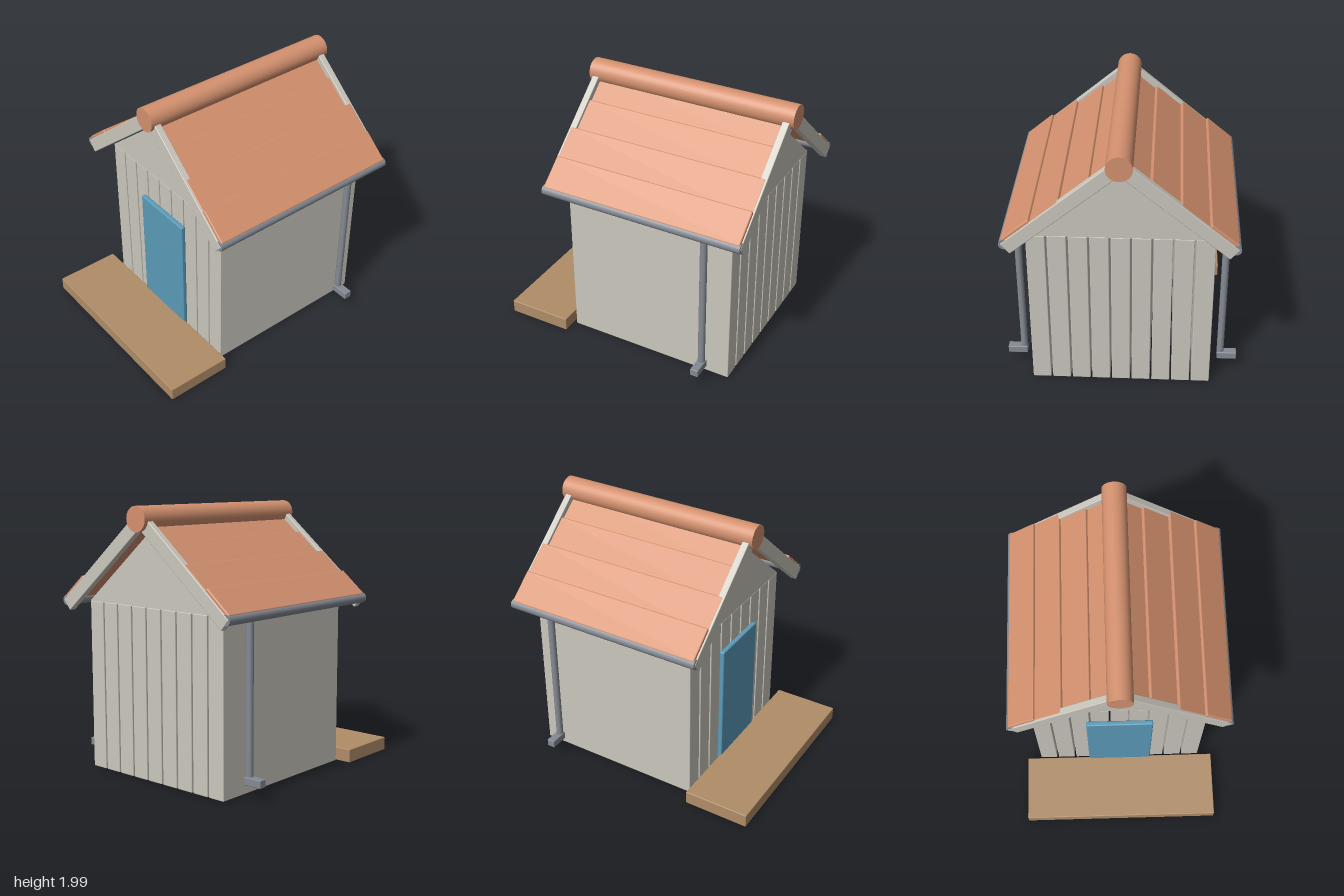
import * as THREE from 'three';
import { RoundedBoxGeometry } from 'three/addons/geometries/RoundedBoxGeometry.js';

const paint = (name, color) => {
  const m = new THREE.MeshStandardMaterial({ color });
  m.name = name;
  return m;
};

export function createModel() {
  const model = new THREE.Group();
  model.name = 'gardenShed';
  const wall = paint('wall', 0xcbc7be);
  const tile = paint('terracotta', 0xd4916f);
  const metal = paint('metal', 0x858a93);
  const blue = paint('doorBlue', 0x5b9bb9);
  const wood = paint('wood', 0xb08d68);

  const add = (parent, name, geometry, material) => {
    const mesh = new THREE.Mesh(geometry, material);
    mesh.name = name;
    parent.add(mesh);
    return mesh;
  };
  // Softened box between two opposite corners
  const block = (parent, name, material, [x0, y0, z0], [x1, y1, z1], r = 0.006) => {
    const g = new RoundedBoxGeometry(Math.abs(x1 - x0), y1 - y0, z1 - z0, 2, r);
    g.translate((x0 + x1) / 2, (y0 + y1) / 2, (z0 + z1) / 2);
    return add(parent, name, g, material);
  };
  // Round bar lying along z
  const bar = (name, material, r, x, y, z0, z1) => {
    const g = new THREE.CylinderGeometry(r, r, z1 - z0, 32).rotateX(Math.PI / 2);
    add(model, name, g, material).position.set(x, y, (z0 + z1) / 2);
  };

  // Body: nine full-depth planks with narrow gaps
  const planks = new THREE.Group();
  planks.name = 'planks';
  model.add(planks);
  const pitch = 0.1465, half = 0.067;
  for (let i = -4; i <= 4; i++) {
    block(planks, 'plank', wall, [i * pitch - half, 0.008, -0.845], [i * pitch + half, 1.27, 0.47]);
  }

  // Gable prism above the planks
  const triangle = new THREE.Shape([
    new THREE.Vector2(-0.655, 1.27), new THREE.Vector2(0.655, 1.27), new THREE.Vector2(0, 1.82),
  ]);
  const gable = new THREE.ExtrudeGeometry(triangle, { depth: 1.315, bevelEnabled: false });
  add(model, 'gable', gable, wall).position.z = -0.845;

  // Door and porch step
  block(model, 'door', blue, [-0.25, 0.035, 0.475], [0.25, 1.04, 0.512], 0.01);
  block(model, 'porch', wood, [-0.757, 0, 0.5], [0.757, 0.103, 1]);

  // Ridge roll
  bar('ridge', tile, 0.09, 0, 1.895, -1, 0.62);

  // Tile rows as [upper end, lower end, top height] measured along the slope
  const rows = [
    [0.78, 1.035, 0.022], [0.536, 0.83, 0.002], [0.293, 0.586, -0.021], [0.04, 0.343, -0.043],
  ];
  for (const s of [-1, 1]) {
    const slope = new THREE.Group();
    slope.name = s > 0 ? 'leftRoof' : 'rightRoof';
    slope.position.y = 1.956;
    slope.rotation.z = -s * THREE.MathUtils.degToRad(40);
    model.add(slope);
    for (const [u0, u1, v] of rows) {
      block(slope, 'tileRow', tile, [s * u0, v - 0.05, -0.96], [s * u1, v, 0.583], 0.01);
    }
    for (const z of [-0.97, 0.543]) {
      block(slope, 'bargeBoard', wall, [0, -0.1, z], [s * 1.054, 0, z + 0.052]);
    }

    // Gutter, downpipe and outlet
    bar('gutter', metal, 0.038, s * 0.78, 1.275, -0.967, 0.592);
    const pipe = new THREE.CylinderGeometry(0.026, 0.026, 1.12, 24);
    add(model, 'downpipe', pipe, metal).position.set(s * 0.735, 0.69, -0.668);
    block(model, 'outlet', metal, [s * 0.71, 0.105, -0.7], [s * 0.855, 0.163, -0.638]);
  }
  return model;
}
